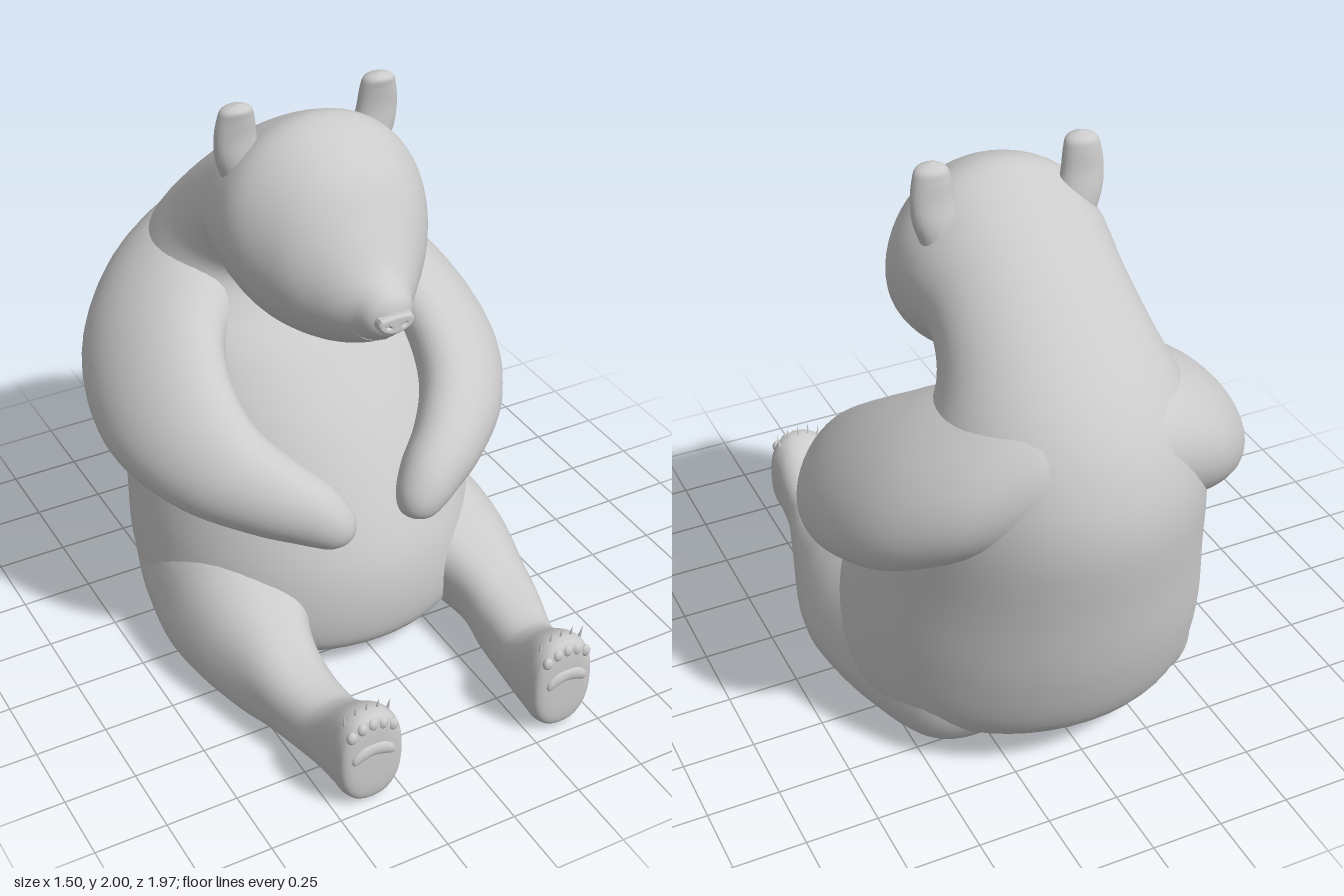
import * as THREE from 'three';

const V = (x, y, z) => new THREE.Vector3(x, y, z);
const material = new THREE.MeshStandardMaterial({ color: 0xcccccc, side: THREE.DoubleSide });

function part(name, geometry, parent) {
  const mesh = new THREE.Mesh(geometry, material);
  mesh.name = name;
  parent.add(mesh);
  return mesh;
}

// Smooth skin through sections { c: centre, u, v: half axes }; power > 2 squares the outline
function loft(sections, power = 2, rings = 6, sides = 40) {
  const curve = key => new THREE.CatmullRomCurve3(sections.map(s => s[key]), false, 'catmullrom', 0.5);
  const [c, u, v] = ['c', 'u', 'v'].map(curve);
  const rows = (sections.length - 1) * rings;
  const bend = a => Math.sign(a) * Math.abs(a) ** (2 / power);
  const pos = [], index = [];
  for (let i = 0; i <= rows; i++) {
    const t = i / rows, C = c.getPoint(t), U = u.getPoint(t), W = v.getPoint(t);
    for (let j = 0; j < sides; j++) {
      const a = j / sides * Math.PI * 2;
      const p = C.clone().addScaledVector(U, bend(Math.cos(a))).addScaledVector(W, bend(Math.sin(a)));
      pos.push(p.x, p.y, p.z);
    }
  }
  for (let i = 0; i < rows; i++) for (let j = 0; j < sides; j++) {
    const a = i * sides + j, b = i * sides + (j + 1) % sides;
    index.push(a, b, a + sides, b, b + sides, a + sides);
  }
  // Turn the faces outward
  const at = k => V(pos[k * 3], pos[k * 3 + 1], pos[k * 3 + 2]);
  let volume = 0;
  for (let k = 0; k < index.length; k += 3) volume += at(index[k]).dot(at(index[k + 1]).cross(at(index[k + 2])));
  if (volume < 0) index.reverse();
  const g = new THREE.BufferGeometry();
  g.setAttribute('position', new THREE.Float32BufferAttribute(pos, 3));
  g.setIndex(index);
  g.computeVertexNormals();
  return g;
}

const tube = (points, r) =>
  new THREE.TubeGeometry(new THREE.CatmullRomCurve3(points.map(p => V(...p))), 20, r, 8);

// Torso, neck and head: front y, front z, back y, back z, half width
const spine = [
  [0.02, -0.15, 0.02, -0.16, 0], [0.02, 0.18, 0.025, -0.5, 0.42], [0.08, 0.36, 0.08, -0.67, 0.55],
  [0.2, 0.41, 0.2, -0.82, 0.62], [0.4, 0.4, 0.45, -0.91, 0.61], [0.6, 0.32, 0.75, -0.955, 0.57],
  [0.85, 0.17, 1.02, -0.98, 0.53], [1.05, 0, 1.22, -0.935, 0.48], [1.18, -0.14, 1.4, -0.83, 0.42],
  [1.27, -0.2, 1.58, -0.65, 0.36], [1.32, -0.17, 1.76, -0.42, 0.335], [1.25, -0.08, 1.89, -0.2, 0.36],
  [1.22, 0.06, 1.93, -0.05, 0.355], [1.23, 0.17, 1.84, 0.14, 0.28], [1.27, 0.27, 1.69, 0.25, 0.19],
  [1.32, 0.35, 1.56, 0.335, 0.115], [1.36, 0.4, 1.505, 0.41, 0.075], [1.43, 0.435, 1.435, 0.435, 0],
].map(([fy, fz, by, bz, w]) => ({
  c: V(0, (fy + by) / 2, (fz + bz) / 2), u: V(w, 0, 0), v: V(0, (by - fy) / 2, (bz - fz) / 2),
}));

// Arm from mid back to paw: centre x, y, z, horizontal radius, upright radius, inward lean of the top
const armPath = [
  [0, 1.2, -0.61, 0.29, 0.25, 0], [0.17, 1.19, -0.59, 0.29, 0.26, 0.04], [0.32, 1.13, -0.52, 0.3, 0.27, 0.1],
  [0.45, 1.06, -0.41, 0.26, 0.27, 0.13], [0.53, 0.985, -0.25, 0.2, 0.24, 0.12],
  [0.54, 0.9, -0.07, 0.165, 0.2, 0.09], [0.47, 0.81, 0.1, 0.14, 0.165, 0.05],
  [0.34, 0.735, 0.23, 0.12, 0.14, 0.02], [0.225, 0.67, 0.3, 0.105, 0.12, 0],
  [0.17, 0.615, 0.333, 0.085, 0.092, 0], [0.15, 0.57, 0.345, 0.056, 0.06, 0], [0.145, 0.548, 0.35, 0, 0, 0],
];
function armSections(s) {
  const points = armPath.map(p => V(p[0] * s, p[1], p[2]));
  return points.map((c, i) => {
    const [, , , rh, rv, lean] = armPath[i];
    const t = points[Math.min(i + 1, points.length - 1)].clone().sub(points[Math.max(i - 1, 0)]).normalize();
    const u = V(t.z, 0, -t.x).normalize();
    const v = t.clone().cross(u).multiplyScalar(rv).add(V(-s * lean, 0, 0));
    return { c, u: u.multiplyScalar(rh), v };
  });
}

// Leg: z, inner x, outer x, bottom, top, inward lean of the top
const legPath = [
  [-0.72, 0.3, 0.3, 0.27, 0.27, 0], [-0.58, 0.1, 0.5, 0.06, 0.48, 0.04], [-0.3, 0.1, 0.6, 0.015, 0.54, 0.07],
  [0, 0.14, 0.64, 0.01, 0.5, 0.09], [0.2, 0.22, 0.635, 0.005, 0.42, 0.06], [0.4, 0.29, 0.59, 0, 0.335, 0.03],
  [0.55, 0.29, 0.55, 0, 0.28, 0], [0.7, 0.28, 0.505, 0, 0.255, 0], [0.78, 0.27, 0.49, 0, 0.28, 0],
  [0.88, 0.255, 0.485, 0, 0.35, 0], [0.94, 0.25, 0.485, 0.005, 0.365, 0], [0.975, 0.275, 0.46, 0.04, 0.335, 0],
  [0.98, 0.37, 0.37, 0.19, 0.19, 0],
];
const legSections = s => legPath.map(([z, x0, x1, y0, y1, lean]) => ({
  c: V(s * (x0 + x1) / 2, (y0 + y1) / 2, z), u: V((x1 - x0) / 2, 0, 0), v: V(-s * lean, (y1 - y0) / 2, 0),
}));

// Ear: y, inner x, outer x, half thickness
const earPath = [
  [1.7, 0.16, 0.29, 0.05], [1.8, 0.17, 0.325, 0.05], [1.88, 0.185, 0.332, 0.042],
  [1.95, 0.195, 0.322, 0.042], [1.985, 0.21, 0.305, 0.038], [2, 0.255, 0.255, 0],
];
const earSections = s => earPath.map(([y, x0, x1, d], i) => ({
  c: V(s * (x0 + x1) / 2, y, -0.165 + i * 0.006), u: V((x1 - x0) / 2, 0, 0), v: V(0, 0, d),
}));

function addFace(bear) {
  const shape = new THREE.Shape();
  shape.moveTo(-0.05, 0.02);
  shape.quadraticCurveTo(0, 0.027, 0.05, 0.02);
  shape.quadraticCurveTo(0.064, 0, 0.033, -0.015);
  shape.quadraticCurveTo(0, -0.03, -0.033, -0.015);
  shape.quadraticCurveTo(-0.064, 0, -0.05, 0.02);
  // Nostrils
  for (const s of [1, -1]) {
    const hole = new THREE.Path();
    hole.absellipse(s * 0.028, -0.002, 0.017, 0.011, 0, Math.PI * 2, false, s * 0.4);
    shape.holes.push(hole);
  }
  const nose = part('nose', new THREE.ExtrudeGeometry(shape, {
    depth: 0.03, bevelEnabled: true, bevelSize: 0.01, bevelThickness: 0.012, bevelSegments: 4, curveSegments: 10,
  }), bear);
  nose.position.set(0, 1.423, 0.405);
  part('lipLine', tube([[0, 1.4, 0.428], [0, 1.37, 0.408], [0, 1.335, 0.37]], 0.004), bear);
  part('mouth', tube([[-0.1, 1.375, 0.338], [-0.06, 1.342, 0.352], [0, 1.333, 0.366], [0.06, 1.342, 0.352], [0.1, 1.375, 0.338]], 0.004), bear);
}

// Sole pad, toe pads and claws
function addPaw(bear, s) {
  const paw = new THREE.Group();
  paw.name = 'pawDetails';
  paw.position.x = s * 0.37;
  bear.add(paw);
  part('solePad', loft([
    [-0.08, 0.21, 0], [-0.07, 0.212, 0.02], [-0.04, 0.228, 0.026], [0, 0.235, 0.024],
    [0.04, 0.228, 0.026], [0.07, 0.212, 0.02], [0.08, 0.21, 0],
  ].map(([x, y, r]) => ({ c: V(x, y, 0.977), u: V(0, r, 0), v: V(0, 0, r * 0.5) })), 2, 4, 16), paw);
  for (let i = -2; i <= 2; i++) {
    const x = i * 0.037, drop = 0.007 * i * i;
    const toe = part('toePad', new THREE.SphereGeometry(0.021, 16, 12), paw);
    toe.scale.set(0.9, 1.1, 0.7);
    toe.position.set(x, 0.333 - drop, 0.968);
    const claw = part('claw', new THREE.ConeGeometry(0.008, 0.07, 8), paw);
    claw.position.set(x * 1.08, 0.37 - drop * 0.75, 0.928);
    claw.rotation.set(0.15, 0, -i * 0.06);
  }
}

export function createModel() {
  const bear = new THREE.Group();
  bear.name = 'sittingBear';
  part('bodyAndHead', loft(spine, 2, 6, 56), bear);
  addFace(bear);
  for (const s of [1, -1]) {
    const side = s > 0 ? 'left' : 'right';
    part(side + 'Arm', loft(armSections(s)), bear);
    part(side + 'Leg', loft(legSections(s), 2.4), bear);
    part(side + 'Ear', loft(earSections(s), 2, 5, 24), bear);
    addPaw(bear, s);
  }
  return bear;
}
